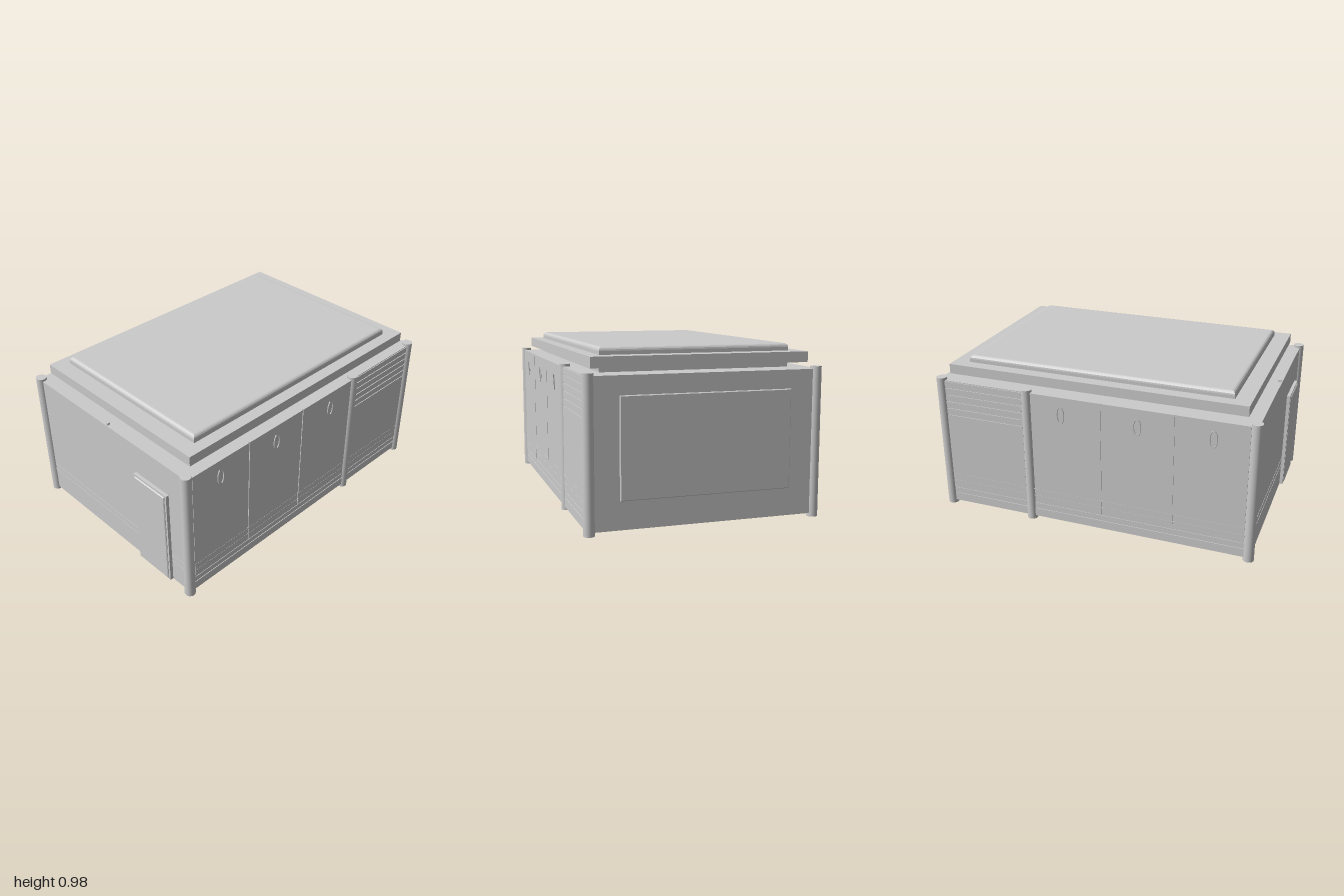
import * as THREE from 'three';

export function createModel() {
  const root = new THREE.Group();
  const mat = new THREE.MeshStandardMaterial({ color: 0xcccccc });

  const add = (name, geo, x = 0, y = 0, z = 0) => {
    const mesh = new THREE.Mesh(geo, mat);
    mesh.name = name;
    mesh.position.set(x, y, z);
    root.add(mesh);
    return mesh;
  };
  // box given by its low and high corners
  const box = (name, x0, x1, y0, y1, z0, z1) =>
    add(name, new THREE.BoxGeometry(x1 - x0, y1 - y0, z1 - z0),
      (x0 + x1) / 2, (y0 + y1) / 2, (z0 + z1) / 2);
  // box on one flank, mirrored to the other
  const flank = (name, xIn, xOut, y0, y1, z0, z1) => {
    box(name, xIn, xOut, y0, y1, z0, z1);
    box(name, -xOut, -xIn, y0, y1, z0, z1);
  };
  // rectangular slab with bevelled edges, extruded along +z
  const bevelled = (w, h, depth, bevel, segments) => {
    const a = w / 2 - bevel, b = h / 2 - bevel;
    const shape = new THREE.Shape([[-a, -b], [a, -b], [a, b], [-a, b]].map(p => new THREE.Vector2(...p)));
    return new THREE.ExtrudeGeometry(shape, {
      depth: depth - 2 * bevel, bevelThickness: bevel, bevelSize: bevel, bevelSegments: segments,
    }).translate(0, 0, bevel);
  };

  // main housing
  box('body', -0.667, 0.667, 0.02, 0.845, -0.985, 0.97);

  // stepped roof: neck, slab and rounded cap
  box('roofNeck', -0.555, 0.555, 0.84, 0.89, -0.815, 0.81);
  box('roofSlab', -0.627, 0.627, 0.878, 0.938, -0.922, 0.905);
  add('roofCap', bevelled(1.11, 1.63, 0.07, 0.022, 4).rotateX(-Math.PI / 2), 0, 0.91, -0.007);

  // corner and side posts
  for (const x of [-0.654, 0.654])
    for (const z of [0.96, -0.403, -0.968])
      add('post', new THREE.CylinderGeometry(0.032, 0.032, 0.86, 32), x, 0.43, z);

  // side doors, split by narrow vertical gaps
  const gaps = [0.935, 0.51, 0.07, -0.375];
  for (let i = 0; i < 3; i++)
    flank('sideDoor', 0.66, 0.672, 0.12, 0.845, gaps[i + 1] + 0.004, gaps[i] - 0.004);
  flank('rearSidePanel', 0.66, 0.672, 0.12, 0.62, -0.94, -0.43);

  // louvre slats behind the side posts
  for (let i = 0; i < 5; i++)
    flank('louvreSlat', 0.66, 0.672, 0.628 + i * 0.044, 0.664 + i * 0.044, -0.94, -0.43);

  // skirt and thin trim strips
  flank('skirt', 0.66, 0.671, 0.022, 0.075, -0.94, 0.935);
  flank('skirtRail', 0.66, 0.67, 0.082, 0.113, -0.94, 0.935);
  for (const y of [0.165, 0.21]) {
    flank('sideTrim', 0.66, 0.673, y, y + 0.004, -0.94, 0.935);
    box('frontTrim', -0.63, 0.63, y, y + 0.004, 0.96, 0.972);
  }

  // oval door handles, each a pair of facing arcs
  for (const side of [-1, 1])
    for (const z of [0.73, 0.29, -0.18])
      for (const turn of [0, Math.PI]) {
        const arc = new THREE.TorusGeometry(0.045, 0.004, 6, 20, Math.PI * 0.8)
          .rotateZ(-Math.PI * 0.4 + turn).scale(0.48, 1.1, 1.2).rotateY(Math.PI / 2);
        add('handle', arc, side * 0.673, 0.735, z);
      }

  // front door with raised leaf
  box('doorFrame', 0.245, 0.52, 0.02, 0.655, 0.96, 0.99);
  add('doorLeaf', bevelled(0.25, 0.612, 0.03, 0.005, 1), 0.3825, 0.338, 0.967);

  // rear panel
  add('rearPanel', bevelled(0.98, 0.56, 0.03, 0.004, 1).rotateY(Math.PI), 0, 0.46, -0.97);

  // small stud above the front edge
  box('frontStud', -0.006, 0.006, 0.84, 0.857, 0.945, 0.965);

  return root;
}
